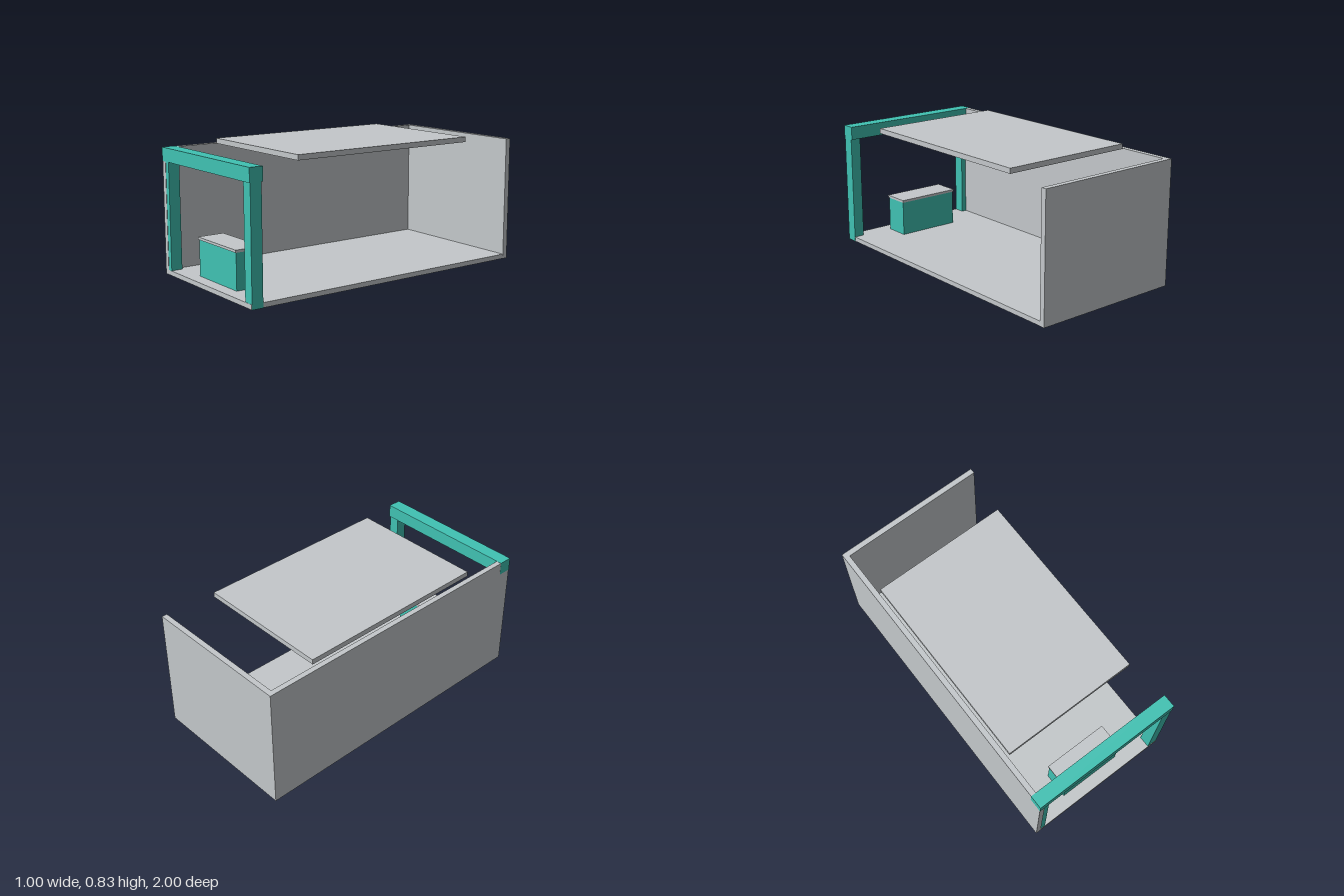
import * as THREE from 'three';

const grey = new THREE.MeshStandardMaterial({ name: 'panelGrey', color: 0xc4c8cb });
const teal = new THREE.MeshStandardMaterial({ name: 'frameTeal', color: 0x40c2b3 });

// Box given by its limits on each axis
function slab(name, material, [x0, x1], [y0, y1], [z0, z1]) {
  const mesh = new THREE.Mesh(new THREE.BoxGeometry(x1 - x0, y1 - y0, z1 - z0), material);
  mesh.position.set((x0 + x1) / 2, (y0 + y1) / 2, (z0 + z1) / 2);
  mesh.name = name;
  return mesh;
}

export function createModel() {
  const model = new THREE.Group();
  model.name = 'boothStand';

  // Shell: floor, one side wall, back wall and raised ceiling panel.
  // Millimetre insets keep overlapping faces from sharing a plane.
  model.add(
    slab('floor', grey, [-0.499, 0.499], [0.001, 0.031], [-0.999, 0.998]),
    slab('sideWall', grey, [-0.4995, -0.465], [0.0005, 0.8], [-0.9995, 0.998]),
    slab('backWall', grey, [-0.5, 0.5], [0.0005, 0.8], [-1, -0.965]),
    slab('ceilingPanel', grey, [-0.45, 0.45], [0.8, 0.833], [-0.65, 0.645]),
  );

  // Front portal: two posts and a beam
  const portal = new THREE.Group();
  portal.name = 'portal';
  portal.add(
    slab('rightPost', teal, [-0.498, -0.43], [0, 0.72], [0.922, 0.996]),
    slab('leftPost', teal, [0.43, 0.5], [0, 0.72], [0.922, 0.996]),
    slab('beam', teal, [-0.5, 0.5], [0.715, 0.801], [0.912, 1]),
  );
  model.add(portal);

  // Reception counter with overhanging top
  const counter = new THREE.Group();
  counter.name = 'counter';
  counter.add(
    slab('counterBody', teal, [-0.213, 0.212], [0, 0.262], [0.752, 0.918]),
    slab('counterTop', grey, [-0.218, 0.217], [0.261, 0.277], [0.746, 0.924]),
  );
  model.add(counter);

  return model;
}
